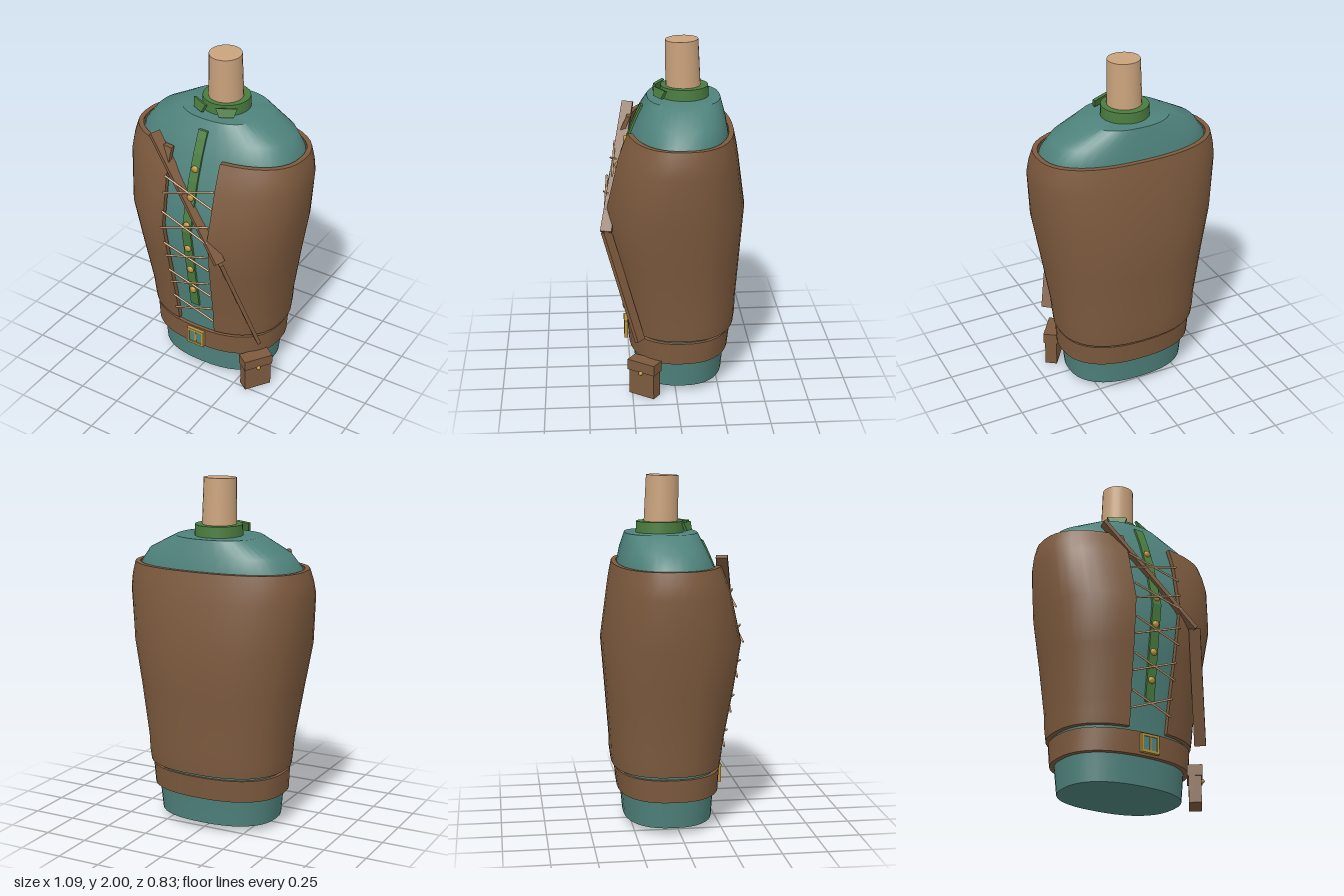
import * as THREE from 'three';
import { toCreasedNormals } from 'three/addons/utils/BufferGeometryUtils.js';

const SEG = 40;
const material = (name, color) => new THREE.MeshStandardMaterial({ name, color });

// Cross-sections: [y, half width, front z, back z]
const bodyRows = [
  [0.04, 0.355, 0.22, -0.29], [0.2, 0.37, 0.23, -0.305], [0.35, 0.387, 0.245, -0.33],
  [0.5, 0.395, 0.265, -0.335], [0.8, 0.44, 0.31, -0.36], [1.07, 0.485, 0.35, -0.38],
  [1.36, 0.51, 0.275, -0.335], [1.51, 0.48, 0.22, -0.31], [1.59, 0.42, 0.185, -0.295],
  [1.68, 0.245, 0.14, -0.27],
];
const vestRows = [
  [0.35, 0.415, 0.27, -0.357], [0.42, 0.423, 0.28, -0.366], [0.5, 0.428, 0.29, -0.368],
  [0.8, 0.473, 0.345, -0.39], [1.07, 0.518, 0.385, -0.41], [1.36, 0.545, 0.318, -0.37],
  [1.44, 0.536, 0.29, -0.357], [1.51, 0.518, 0.262, -0.342],
];
const beltRows = [[0.2, 0.398, 0.257, -0.325], [0.33, 0.405, 0.265, -0.34]];

// Front z of a set of cross-sections at height y
function frontZ(rows, y) {
  for (let i = 1; i < rows.length; i++) {
    const [p, q] = [rows[i - 1], rows[i]];
    if (y <= q[0]) return THREE.MathUtils.lerp(p[2], q[2], (y - p[0]) / (q[0] - p[0]));
  }
  return rows[rows.length - 1][2];
}

const vestGap = (y) => THREE.MathUtils.lerp(0.12, 0.156, Math.min(1, (y - 0.35) / 0.95));

// Superellipse ring running from +z round through +x, optionally open at the front
function ring([y, a, zf, zb], gap = 0, n = 2.4) {
  const b = (zf - zb) / 2, zc = (zf + zb) / 2;
  const t0 = Math.asin(Math.pow(gap / a, n / 2));
  const bend = (v) => Math.sign(v) * Math.pow(Math.abs(v), 2 / n);
  return Array.from({ length: SEG + 1 }, (_, i) => {
    const t = t0 + (2 * Math.PI - 2 * t0) * i / SEG;
    return new THREE.Vector3(a * bend(Math.sin(t)), y, zc + b * bend(Math.cos(t)));
  });
}

function meshFrom(tris, crease) {
  const geo = new THREE.BufferGeometry().setFromPoints(tris);
  return toCreasedNormals(geo, crease);
}

function stitch(tris, rings) {
  for (let j = 0; j + 1 < rings.length; j++)
    for (let i = 0; i < SEG; i++) {
      const a = rings[j][i], b = rings[j][i + 1], c = rings[j + 1][i + 1], d = rings[j + 1][i];
      tris.push(a, b, c, a, c, d);
    }
}

// Solid loft with flat ends
function solid(rows) {
  const rings = rows.map((r) => ring(r)), tris = [];
  stitch(tris, rings);
  const first = rings[0], last = rings[rings.length - 1];
  const centre = (r) => new THREE.Vector3(0, r[0].y, (r[0].z + r[SEG / 2].z) / 2);
  for (let i = 0; i < SEG; i++) {
    tris.push(centre(first), first[i + 1], first[i]);
    tris.push(centre(last), last[i], last[i + 1]);
  }
  return meshFrom(tris, 0.6);
}

// Hollow wall of given thickness, with an optional front opening
function shell(rows, thick, gapAt) {
  const gap = (r) => (gapAt ? gapAt(r[0]) : 0);
  const outer = rows.map((r) => ring(r, gap(r)));
  const inner = rows.map((r) => ring([r[0], r[1] - thick, r[2] - thick, r[3] + thick], gap(r)));
  const tris = [];
  stitch(tris, [...outer, ...inner.slice().reverse(), outer[0]]);
  if (gapAt) for (let k = 0; k + 1 < rows.length; k++) {
    const ends = (i) => [outer[k][i], outer[k + 1][i], inner[k + 1][i], inner[k][i]];
    const [a, b, c, d] = ends(0), [e, f, g, h] = ends(SEG);
    tris.push(a, b, c, a, c, d, e, g, f, e, h, g);
  }
  return meshFrom(tris, 0.6);
}

export function createModel() {
  const model = new THREE.Group();
  const teal = material('teal cloth', 0x4f827c);
  const brown = material('brown leather', 0x7d5a3e);
  const green = material('green trim', 0x4a7c3f);
  const gold = material('gold metal', 0xb8923a);
  const skin = material('skin', 0xc9a27c);
  const cord = material('lace cord', 0xd0a57c);

  const add = (name, geo, mat, x = 0, y = 0, z = 0, parent = model) => {
    const mesh = new THREE.Mesh(geo, mat);
    mesh.name = name;
    mesh.position.set(x, y, z);
    parent.add(mesh);
    return mesh;
  };
  const box = (w, h, d) => new THREE.BoxGeometry(w, h, d);

  // Clothed torso, vest and belt
  add('tunic', solid(bodyRows), teal);
  add('vest', shell(vestRows, 0.028, vestGap), brown);
  add('belt', shell(beltRows, 0.035), brown);

  // Neck and collar
  add('neck', new THREE.CylinderGeometry(0.092, 0.1, 0.33, 24), skin, 0, 1.835, -0.06).rotation.x = 0.03;
  add('collar', new THREE.CylinderGeometry(0.134, 0.137, 0.07, 28), green, 0, 1.707, -0.07);
  const flapShape = new THREE.Shape([[-0.06, 0.025], [-0.04, -0.025], [0.04, -0.025], [0.06, 0.025]]
    .map(([x, y]) => new THREE.Vector2(x, y)));
  const flap = new THREE.ExtrudeGeometry(flapShape, { depth: 0.016, bevelEnabled: false });
  for (const s of [-1, 1]) {
    const m = add('collarFlap', flap, green, s * 0.082, 1.713, 0.068);
    m.rotation.set(-0.3, s * 0.48, 0, 'YXZ');
  }

  // Button placket following the chest
  const ys = [0.51, 0.8, 1.07, 1.36, 1.51, 1.59, 1.63];
  const side = (off) => ys.map((y) => new THREE.Vector2(frontZ(bodyRows, y) + off, y));
  const placket = new THREE.ExtrudeGeometry(
    new THREE.Shape([...side(0.012), ...side(-0.02).reverse()]), { depth: 0.056, bevelEnabled: false });
  placket.translate(0, 0, -0.028).rotateY(-Math.PI / 2);
  add('placket', placket, green);
  for (const y of [1.43, 1.27, 1.11, 0.95, 0.79, 0.63])
    add('button', new THREE.SphereGeometry(0.021, 14, 10), gold, 0, y, frontZ(bodyRows, y) + 0.014).scale.z = 0.6;

  // Crossed laces over the opening
  const lace = (p, q) => {
    const dir = q.clone().sub(p);
    const m = add('lace', new THREE.CylinderGeometry(0.006, 0.006, dir.length(), 8), cord);
    m.position.copy(p).add(q).multiplyScalar(0.5);
    m.quaternion.setFromUnitVectors(new THREE.Vector3(0, 1, 0), dir.normalize());
  };
  for (const y of [1.315, 1.11, 0.905, 0.7, 0.495])
    for (const s of [-1, 1]) {
      const end = (k) => new THREE.Vector3(s * k * (vestGap(y) + 0.004), y + k * 0.05,
        frontZ(vestRows, y + k * 0.05) + 0.004);
      lace(end(-1), end(1));
    }

  // Shoulder strap in two straight lengths
  const strap = (p, q) => {
    const a = new THREE.Vector3(...p), b = new THREE.Vector3(...q);
    const m = add('strap', box(0.065, 0.022, a.distanceTo(b)), brown);
    m.position.copy(a).add(b).multiplyScalar(0.5);
    m.lookAt(b);
  };
  strap([-0.28, 1.565, 0.238], [0.235, 0.96, 0.385]);
  strap([0.235, 0.965, 0.385], [0.383, 0.35, 0.205]);

  // Belt buckle
  const buckle = new THREE.Group();
  buckle.name = 'buckle';
  buckle.position.set(0, 0.265, 0.274);
  model.add(buckle);
  add('bucklePlate', box(0.1, 0.09, 0.009), teal, 0, 0, 0, buckle);
  for (const s of [-1, 1]) {
    add('buckleSide', box(0.014, 0.105, 0.02), gold, s * 0.05, 0, 0, buckle);
    add('buckleBar', box(0.114, 0.014, 0.02), gold, 0, s * 0.046, 0, buckle);
  }
  add('bucklePin', box(0.01, 0.09, 0.018), gold, 0, 0, 0, buckle);

  // Belt pouch
  const pouch = new THREE.Group();
  pouch.name = 'pouch';
  pouch.position.set(0.358, 0, 0.18);
  pouch.rotation.y = 0.96;
  model.add(pouch);
  add('pouchBody', box(0.165, 0.2, 0.07), brown, 0, 0.1, 0, pouch);
  add('pouchFlap', box(0.178, 0.063, 0.084), brown, 0, 0.183, 0, pouch);
  add('pouchClasp', new THREE.SphereGeometry(0.013, 12, 8), gold, 0, 0.147, 0.042, pouch);

  return model;
}
